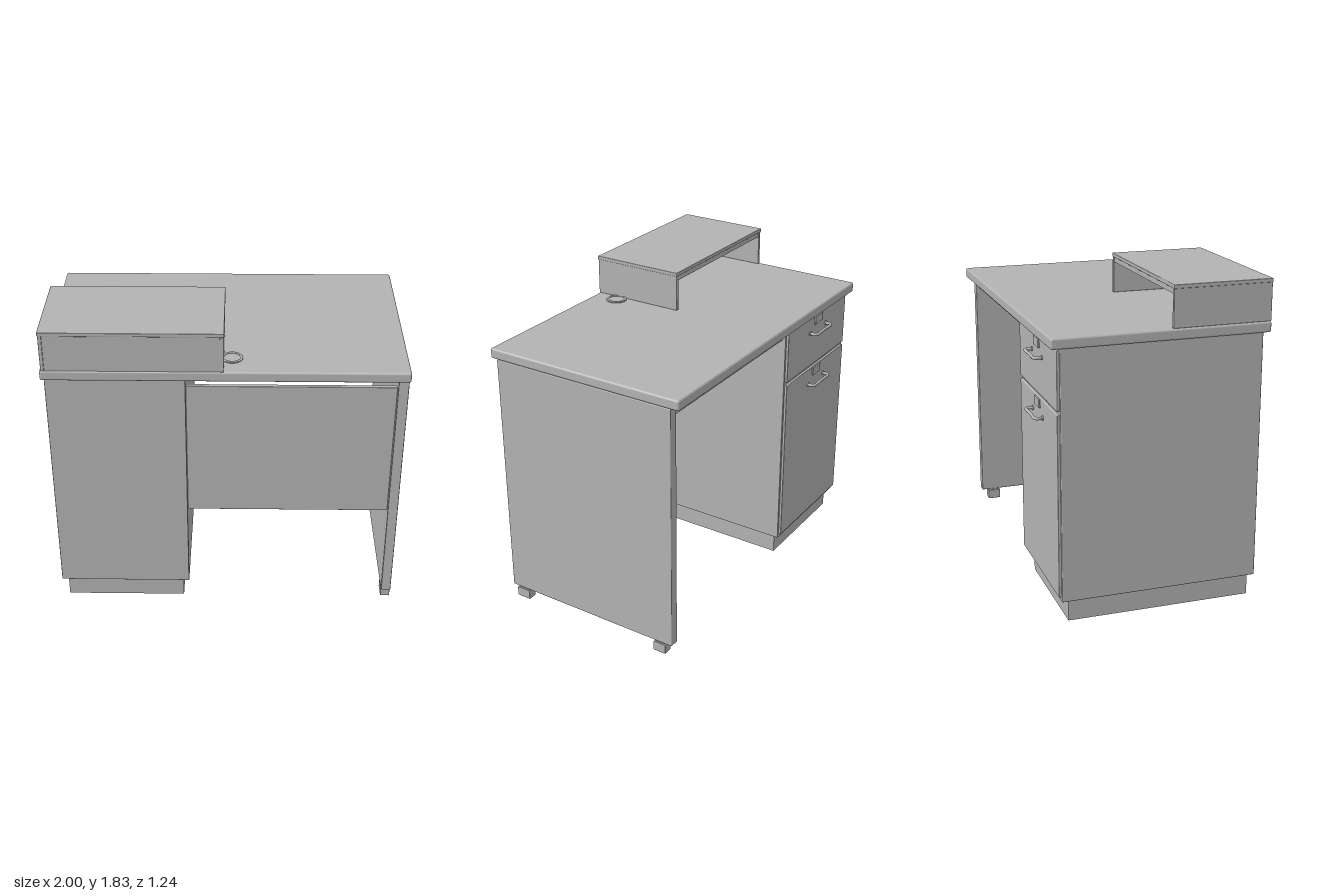
import * as THREE from 'three';
import { RoundedBoxGeometry } from 'three/addons/geometries/RoundedBoxGeometry.js';

export function createModel() {
  const desk = new THREE.Group();
  desk.name = 'desk';
  const grey = new THREE.MeshStandardMaterial({ color: 0xb3b3b3 });
  grey.name = 'grey laminate';

  function add(name, geometry, parent = desk) {
    const mesh = new THREE.Mesh(geometry, grey);
    mesh.name = name;
    parent.add(mesh);
    return mesh;
  }

  // Board given by its limits along each axis, with softened edges
  function board(name, [x0, x1], [y0, y1], [z0, z1], radius = 0.005, parent = desk) {
    const size = [x1 - x0, y1 - y0, z1 - z0];
    const geometry = radius > 0
      ? new RoundedBoxGeometry(...size, 2, radius)
      : new THREE.BoxGeometry(...size);
    const mesh = add(name, geometry, parent);
    mesh.position.set((x0 + x1) / 2, (y0 + y1) / 2, (z0 + z1) / 2);
    return mesh;
  }

  // Worktop
  board('worktop', [-0.995, 1], [1.54, 1.6], [-0.605, 0.618], 0.012);

  // Drawer pedestal and its hollow plinth
  board('pedestal', [-0.98, -0.215], [0.13, 1.54], [-0.553, 0.578]);
  const plinthY = [0, 0.13];
  for (const x of [-0.945, -0.27]) board('plinthSide', [x, x + 0.02], plinthY, [-0.51, 0.55], 0);
  for (const z of [-0.51, 0.53]) board('plinthEnd', [-0.925, -0.27], plinthY, [z, z + 0.02], 0);

  // Drawer fronts with handles and small latch plates
  const handlePath = new THREE.CatmullRomCurve3([
    [-0.1, 0, 0], [-0.1, 0, -0.035], [-0.09, 0, -0.044], [0, 0, -0.044],
    [0.09, 0, -0.044], [0.1, 0, -0.035], [0.1, 0, 0],
  ].map((p) => new THREE.Vector3(...p)), false, 'centripetal');
  const drawers = [
    { name: 'topDrawer', y: [1.205, 1.53], handleY: 1.425 },
    { name: 'bottomDrawer', y: [0.155, 1.185], handleY: 1.09 },
  ];
  for (const { name, y, handleY } of drawers) {
    const drawer = new THREE.Group();
    drawer.name = name;
    desk.add(drawer);
    board('drawerFront', [-0.967, -0.228], y, [-0.568, -0.545], 0.004, drawer);
    board('latchPlate', [-0.645, -0.55], [handleY + 0.04, handleY + 0.09], [-0.577, -0.566], 0.003, drawer);
    const handle = add('handle', new THREE.TubeGeometry(handlePath, 40, 0.009, 10), drawer);
    handle.position.set(-0.597, handleY, -0.567);
    for (const side of [-1, 1]) {
      const boss = add('handleBoss', new THREE.CylinderGeometry(0.013, 0.013, 0.008, 16), drawer);
      boss.rotation.x = Math.PI / 2;
      boss.position.set(-0.597 + side * 0.1, handleY, -0.571);
    }
  }

  // Left leg panel on two feet
  board('legPanel', [0.94, 0.997], [0.07, 1.54], [-0.553, 0.578]);
  for (const [z0, z1] of [[-0.51, -0.43], [0.46, 0.55]]) {
    board('foot', [0.942, 0.997], [0, 0.06], [z0, z1], 0.004);
    board('footNeck', [0.95, 0.989], [0.05, 0.075], [z0 + 0.01, z1 - 0.01], 0);
  }

  // Modesty panel, its stiffener and the rail under the worktop
  board('modestyPanel', [-0.215, 0.94], [0.64, 1.47], [0.52, 0.545], 0.004);
  board('panelStiffener', [-0.215, 0.94], [1.058, 1.07], [0.512, 0.525], 0);
  board('worktopRail', [-0.215, 0.94], [1.475, 1.54], [-0.535, -0.51], 0.003);

  // Raised shelf, open towards the drawers
  const riser = new THREE.Group();
  riser.name = 'raisedShelf';
  desk.add(riser);
  board('shelfTop', [-0.99, -0.003], [1.81, 1.832], [0.058, 0.62], 0.004, riser);
  for (const x of [-0.986, -0.026]) board('shelfSide', [x, x + 0.02], [1.6, 1.812], [0.06, 0.618], 0.003, riser);
  board('shelfFront', [-0.966, -0.026], [1.6, 1.812], [0.594, 0.614], 0, riser);
  board('shelfRail', [-0.966, -0.026], [1.78, 1.812], [0.065, 0.083], 0, riser);

  // Cable grommet
  const rim = [[0.045, 0], [0.06, 0], [0.06, 0.006], [0.057, 0.009], [0.047, 0.009], [0.045, 0.006], [0.045, 0]];
  const grommet = add('grommetRim', new THREE.LatheGeometry(rim.map((p) => new THREE.Vector2(...p)), 40));
  grommet.position.set(0.038, 1.599, 0.46);
  const cap = add('grommetCap', new THREE.CylinderGeometry(0.046, 0.046, 0.005, 40));
  cap.position.set(0.038, 1.601, 0.46);

  return desk;
}
